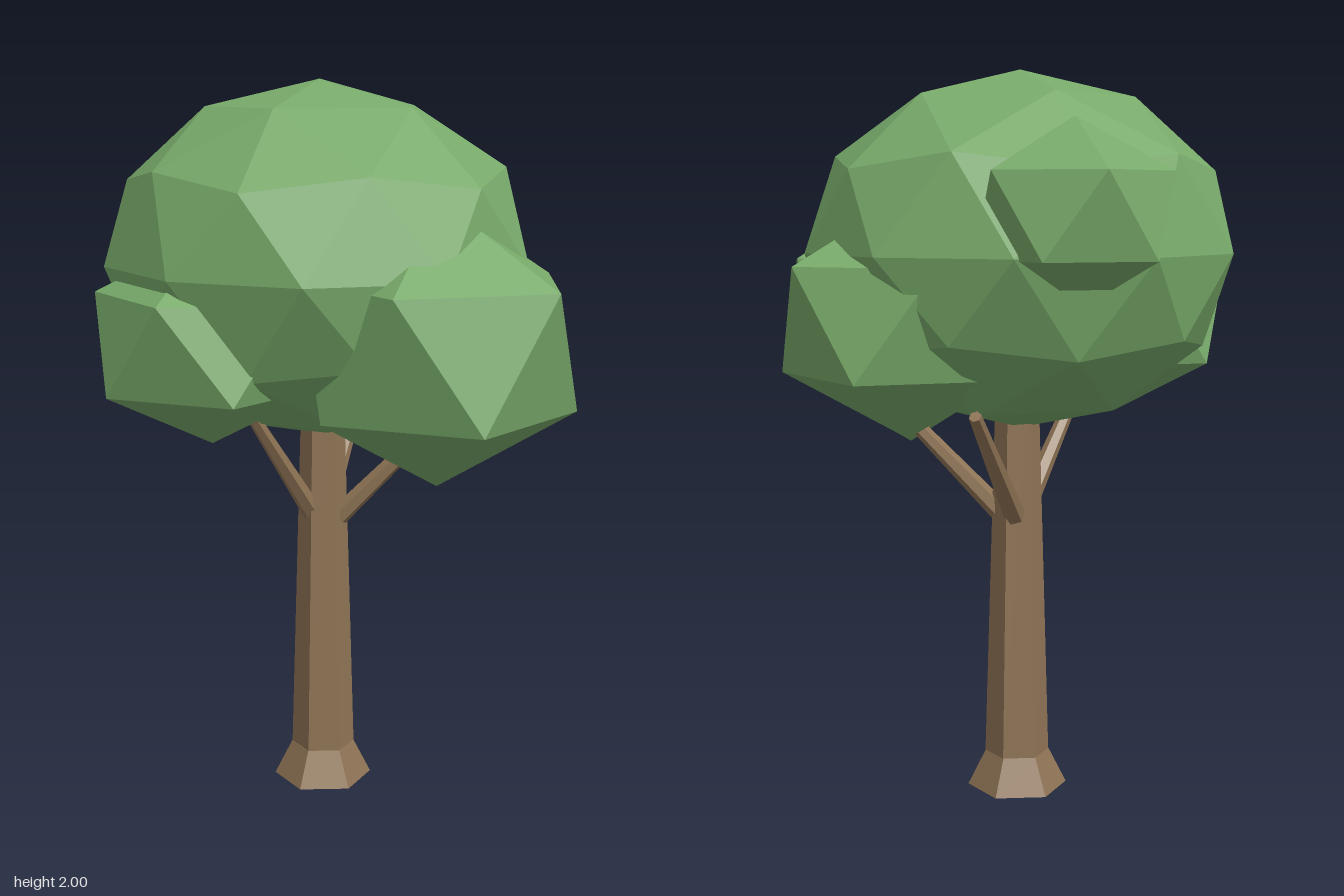
import * as THREE from 'three';

const foliage = new THREE.MeshStandardMaterial({ name: 'leafGreen', color: 0x78aa6a, flatShading: true });
const bark = new THREE.MeshStandardMaterial({ name: 'barkBrown', color: 0x8f7455, flatShading: true });

// Icosahedron standing on a corner, with one upper-ring corner at 18 degrees from +z
function uprightIcosahedron(detail) {
  const points = [0, 1, 0];
  const ring = (y, start) => {
    for (let i = 0; i < 5; i++) {
      const a = THREE.MathUtils.degToRad(start + i * 72);
      points.push(Math.sin(a) * 2 / Math.sqrt(5), y, Math.cos(a) * 2 / Math.sqrt(5));
    }
  };
  ring(1 / Math.sqrt(5), 18);
  ring(-1 / Math.sqrt(5), 54);
  points.push(0, -1, 0);
  const faces = [];
  for (let i = 0; i < 5; i++) {
    const j = (i + 1) % 5;
    const u = 1 + i, v = 1 + j, l = 6 + i, m = 6 + j;
    faces.push(0, u, v, u, l, v, l, m, v, l, 11, m);
  }
  return new THREE.PolyhedronGeometry(points, faces, 1, detail);
}

function createModel() {
  const tree = new THREE.Group();
  tree.name = 'tree';

  const add = (name, geometry, material) => {
    const mesh = new THREE.Mesh(geometry, material);
    mesh.name = name;
    tree.add(mesh);
    return mesh;
  };

  // Leaf masses: name, centre, horizontal radius, vertical radius, subdivision
  const clumps = [
    ['mainCanopy', [-0.01, 1.515, -0.045], 0.59, 0.485, 1],
    ['frontClump', [0.1, 1.325, 0.36], 0.405, 0.375, 0],
    ['backClump', [0.125, 1.617, -0.475], 0.275, 0.24, 0],
    ['leftClump', [0.335, 1.345, -0.02], 0.372, 0.32, 0],
    ['rightClump', [-0.365, 1.33, -0.02], 0.341, 0.28, 0],
  ];
  for (const [name, centre, r, h, detail] of clumps) {
    const mesh = add(name, uprightIcosahedron(detail), foliage);
    mesh.position.set(...centre);
    mesh.scale.set(r, h, r);
  }

  // Six-sided trunk with a flared foot
  const z = -0.043;
  add('trunkFoot', new THREE.CylinderGeometry(0.09, 0.14, 0.1, 6), bark).position.set(-0.004, 0.05, z);
  add('trunk', new THREE.CylinderGeometry(0.058, 0.09, 1.1, 6), bark).position.set(-0.003, 0.65, z);

  // Tapered branches: name, start, end
  const branches = [
    ['frontLeftBranch', [0.03, 0.79, -0.01], [0.29, 1.13, 0.19]],
    ['backLeftBranch', [0.03, 0.79, -0.08], [0.29, 1.11, -0.28]],
    ['rightBranch', [-0.03, 0.79, -0.04], [-0.28, 1.13, 0.04]],
  ];
  for (const [name, from, to] of branches) {
    const a = new THREE.Vector3(...from), b = new THREE.Vector3(...to);
    const dir = b.clone().sub(a);
    const mesh = add(name, new THREE.CylinderGeometry(0.017, 0.03, dir.length(), 6), bark);
    mesh.position.copy(a).add(b).multiplyScalar(0.5);
    mesh.quaternion.setFromUnitVectors(new THREE.Vector3(0, 1, 0), dir.normalize());
  }
  return tree;
}

export { createModel };
